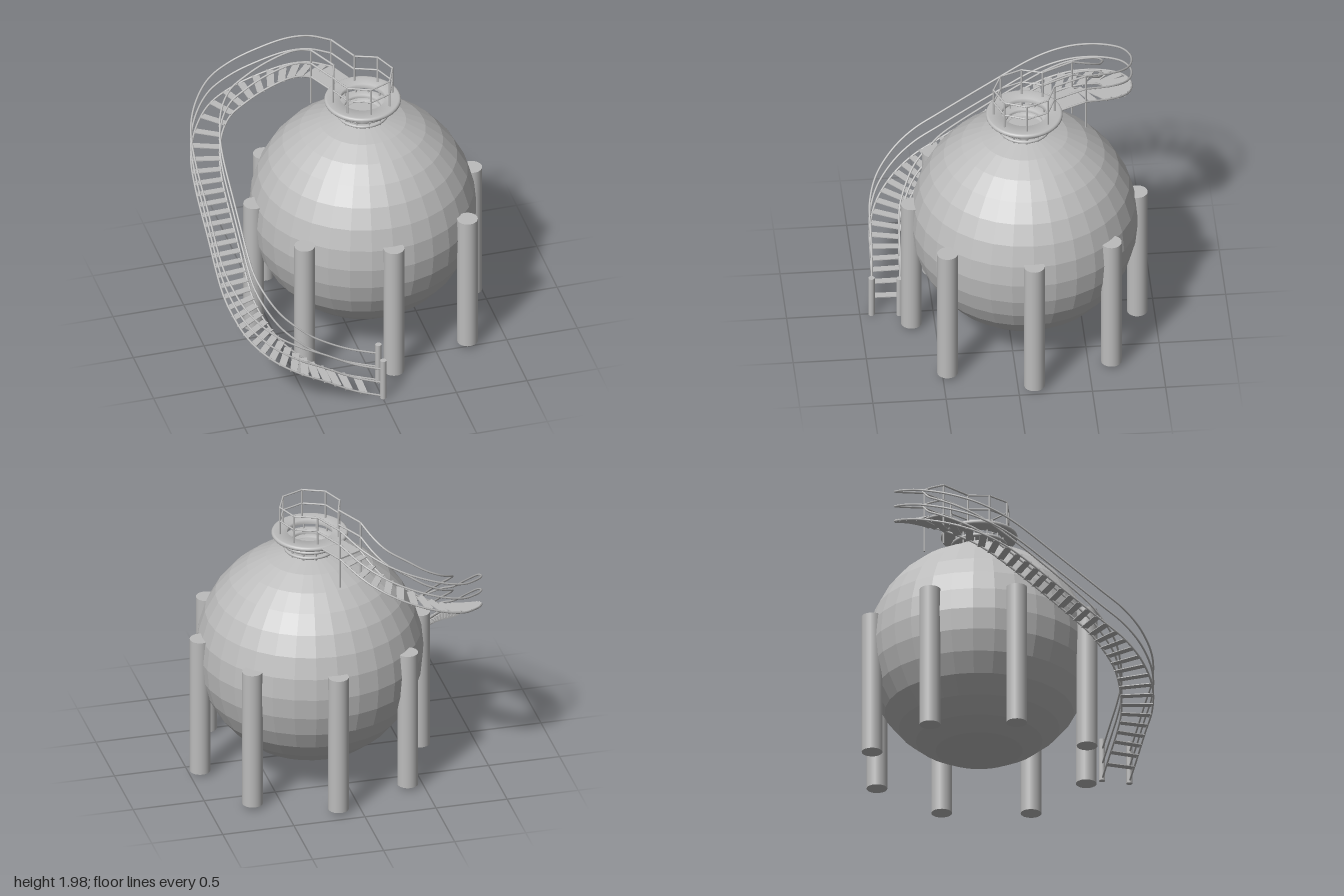
import * as THREE from 'three';

const CX = 0.155, CZ = -0.11, CY = 0.87, R = 0.775; // tank centre and radius
const V = (x, y, z) => new THREE.Vector3(x, y, z);

export function createModel() {
  const model = new THREE.Group();
  const steel = new THREE.MeshStandardMaterial({ color: 0xbcbcbc });
  steel.name = 'grey steel';

  const add = (name, geo, parent = model) => {
    const mesh = new THREE.Mesh(geo, steel);
    mesh.name = name;
    parent.add(mesh);
    return mesh;
  };
  const group = (name) => {
    const g = new THREE.Group();
    g.name = name;
    model.add(g);
    return g;
  };
  // straight round bar between two points
  const bar = (name, a, b, r, parent) => {
    const d = b.clone().sub(a);
    const m = add(name, new THREE.CylinderGeometry(r, r, d.length(), 10), parent);
    m.position.copy(a).add(b).multiplyScalar(0.5);
    m.quaternion.setFromUnitVectors(V(0, 1, 0), d.normalize());
    return m;
  };
  const onCircle = (r, angle, y) => V(CX + r * Math.cos(angle), y, CZ + r * Math.sin(angle));

  // faceted spherical tank
  const ball = new THREE.SphereGeometry(R, 32, 16).toNonIndexed();
  ball.computeVertexNormals();
  add('tank', ball).position.set(CX, CY, CZ);

  // eight legs; the front diagonal pair stands slightly further out
  const legs = group('legs');
  for (let i = 0; i < 8; i++) {
    const a = (i * Math.PI) / 4;
    const p = onCircle(i === 1 || i === 3 ? 0.815 : 0.772, a, 0.533);
    add('leg', new THREE.CylinderGeometry(0.071, 0.071, 1.015, 24), legs).position.copy(p);
  }

  // neck rings and platform: flat annuli with rounded outer rims
  const ring = (name, inner, outer, y, h) => {
    const k = h / 2;
    const pts = [new THREE.Vector2(inner, -k)];
    for (let i = 0; i <= 8; i++) {
      const a = -Math.PI / 2 + (i * Math.PI) / 8;
      pts.push(new THREE.Vector2(outer - k + k * Math.cos(a), k * Math.sin(a)));
    }
    pts.push(new THREE.Vector2(inner, k), new THREE.Vector2(inner, -k));
    add(name, new THREE.LatheGeometry(pts, 40)).position.set(CX, y, CZ);
  };
  ring('neckBase', 0.122, 0.178, 1.645, 0.022);
  ring('neckRing', 0.125, 0.192, 1.692, 0.024);
  ring('platform', 0.155, 0.262, 1.756, 0.034);
  add('hatch', new THREE.CylinderGeometry(0.13, 0.13, 0.02, 32)).position.set(CX, 1.637, CZ);
  const struts = group('neckStruts');
  for (let i = 0; i < 12; i++) {
    const a = (i * Math.PI) / 6;
    bar('strut', onCircle(0.165, a, 1.62), onCircle(0.165, a, 1.75), 0.006, struts);
  }

  // octagonal railing, open on the side where the stair arrives
  const railing = group('platformRailing');
  const corners = [];
  for (let i = 0; i < 8; i++) corners.push(onCircle(0.21, -Math.PI / 2 + (i * Math.PI) / 4, 0));
  corners[7].set(-0.01, 0, -0.25);
  corners[0].set(0.155, 0, -0.315);
  const at = (p, y) => V(p.x, y, p.z);
  corners.forEach((c, i) => {
    bar('railingPost', at(c, 1.75), at(c, 1.98), 0.007, railing);
    if (i < 7) {
      for (const y of [1.765, 1.872, 1.976]) {
        bar('railingBar', at(c, y), at(corners[i + 1], y), 0.006, railing);
      }
    }
  });

  // stair path: outer x, z, inner x, z, height
  const path = [
    [0, 0.92, 0.02, 0.73, 0.015], [-0.2, 0.9, -0.2, 0.705, 0.085],
    [-0.4, 0.89, -0.4, 0.695, 0.195], [-0.58, 0.88, -0.52, 0.68, 0.29],
    [-0.75, 0.82, -0.63, 0.63, 0.39], [-0.88, 0.7, -0.71, 0.56, 0.5],
    [-0.95, 0.55, -0.765, 0.45, 0.61], [-0.982, 0.36, -0.785, 0.33, 0.72],
    [-0.985, 0.04, -0.79, 0.03, 0.935], [-0.985, -0.26, -0.79, -0.26, 1.13],
    [-0.955, -0.48, -0.765, -0.43, 1.24], [-0.87, -0.67, -0.71, -0.57, 1.32],
    [-0.73, -0.83, -0.62, -0.67, 1.39], [-0.55, -0.893, -0.5, -0.7, 1.46],
    [-0.35, -0.885, -0.38, -0.69, 1.54], [-0.18, -0.83, -0.25, -0.655, 1.62],
    [-0.05, -0.72, -0.17, -0.58, 1.69], [0.055, -0.54, -0.11, -0.46, 1.758],
  ];
  const curve = (side, lift) => new THREE.CatmullRomCurve3(
    path.map((p) => V(p[side * 2], p[4] + lift, p[side * 2 + 1])), false, 'catmullrom', 0.5);

  // stringers, handrails and landing rails on both sides
  const stair = group('stair');
  const ends = [corners[0], corners[7]];
  [0, 1].forEach((side) => {
    [0, 0.11, 0.22].forEach((lift) => {
      const c = curve(side, lift);
      const name = lift ? 'handrail' : 'stringer';
      add(name, new THREE.TubeGeometry(c, 140, 0.007, 8), stair);
      const e = c.getPoint(1);
      bar(name, e, at(ends[side], e.y), 0.007, stair);
    });
    const s = path[0], t = path[path.length - 1];
    bar('bottomPost', V(s[side * 2] + 0.005, 0, s[side * 2 + 1]),
      V(s[side * 2] + 0.005, 0.31, s[side * 2 + 1]), 0.022, stair);
    bar('landingPost', V(t[side * 2], 1.54, t[side * 2 + 1]),
      V(t[side * 2], 1.978, t[side * 2 + 1]), 0.006, stair);
  });

  // treads at equal rises along the path
  const outer = curve(0, 0), inner = curve(1, 0);
  const treads = group('treads');
  const rise = 0.042;
  for (let n = 1, step = 0; n <= 41; n++) {
    while (step < 2000 && outer.getPoint(step / 2000).y < 0.015 + n * rise) step++;
    const a = outer.getPoint(step / 2000), b = inner.getPoint(step / 2000);
    const tread = add('tread', new THREE.BoxGeometry(a.distanceTo(b), 0.006, 0.05), treads);
    tread.position.copy(a).add(b).multiplyScalar(0.5);
    tread.rotation.y = Math.atan2(-(a.z - b.z), a.x - b.x);
  }

  // landing plate between the stair head and the platform
  const plate = new THREE.Shape([
    new THREE.Vector2(0.055, -0.54), new THREE.Vector2(0.155, -0.315),
    new THREE.Vector2(-0.01, -0.25), new THREE.Vector2(-0.11, -0.46),
  ]);
  const landing = add('landing',
    new THREE.ExtrudeGeometry(plate, { depth: 0.012, bevelEnabled: false }), stair);
  landing.rotation.x = Math.PI / 2;
  landing.position.y = 1.766;

  return model;
}
